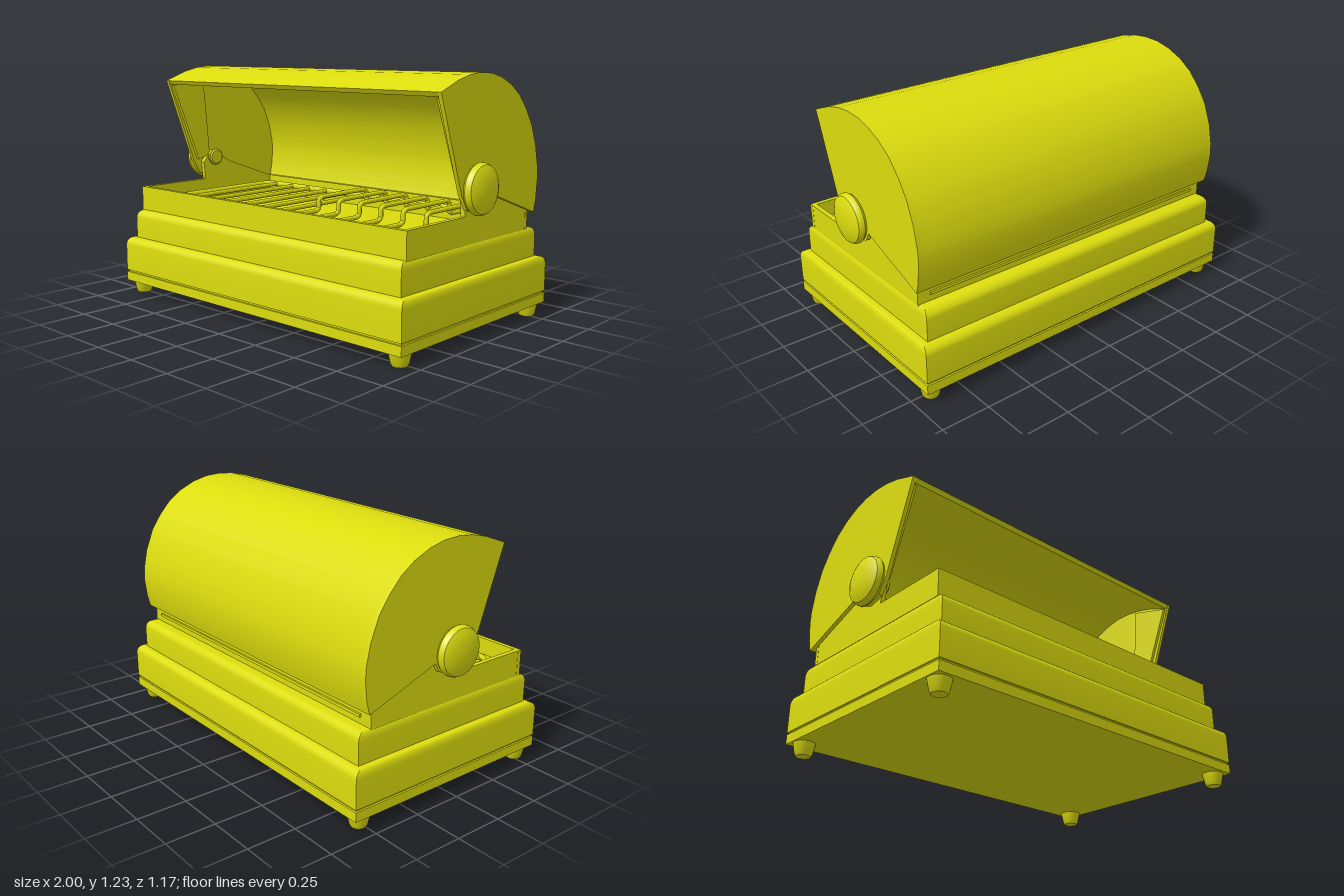
import * as THREE from 'three';
import { toCreasedNormals } from 'three/addons/utils/BufferGeometryUtils.js';

const yellow = new THREE.MeshStandardMaterial({ color: 0xdcdc0e });
yellow.name = 'yellow';

export function createModel() {
  const grill = new THREE.Group();
  grill.name = 'grill';

  const add = (name, geometry, x = 0, y = 0, z = 0) => {
    const mesh = new THREE.Mesh(geometry, yellow);
    mesh.name = name;
    mesh.position.set(x, y, z);
    grill.add(mesh);
    return mesh;
  };
  const box = (name, x0, x1, y0, y1, z0, z1) =>
    add(name, new THREE.BoxGeometry(x1 - x0, y1 - y0, z1 - z0), (x0 + x1) / 2, (y0 + y1) / 2, (z0 + z1) / 2);

  // Extrudes a [z, y] outline from x0 to x1
  const slab = (name, outline, x0, x1) => {
    const shape = new THREE.Shape(outline.map(([z, y]) => new THREE.Vector2(z, y)));
    const g = new THREE.ExtrudeGeometry(shape, { depth: x1 - x0, bevelEnabled: false });
    g.rotateY(-Math.PI / 2).translate(x1, 0, 0);
    return add(name, toCreasedNormals(g, 0.5));
  };
  const bothSides = (name, outline, x0, x1) => {
    slab(name + 'Left', outline, x0, x1);
    slab(name + 'Right', outline, -x1, -x0);
  };

  // Stacks rectangles [halfX, halfZ, y] into a closed, mitred body
  const stack = (name, levels) => {
    const p = [];
    const ring = ([x, z, y]) => [[-x, y, z], [x, y, z], [x, y, -z], [-x, y, -z]];
    const quad = (a, b, c, d) => p.push(...a, ...b, ...c, ...a, ...c, ...d);
    for (let i = 0; i < levels.length - 1; i++) {
      const a = ring(levels[i]), b = ring(levels[i + 1]);
      for (let k = 0; k < 4; k++) {
        const n = (k + 1) % 4;
        quad(a[k], a[n], b[n], b[k]);
      }
    }
    const bottom = ring(levels[0]), top = ring(levels[levels.length - 1]);
    quad(bottom[3], bottom[2], bottom[1], bottom[0]);
    quad(...top);
    const g = new THREE.BufferGeometry();
    g.setAttribute('position', new THREE.Float32BufferAttribute(p, 3));
    return add(name, toCreasedNormals(g, 0.5));
  };
  // Rounded shoulder at the top of a tier
  const shoulder = (hx, hz, y, r) => Array.from({ length: 7 }, (_, i) => {
    const a = (i / 6) * Math.PI / 2, inset = r * (1 - Math.cos(a));
    return [hx - inset * 0.4, hz - inset, y - r + r * Math.sin(a)];
  });

  // Stepped base with a groove near the bottom
  stack('lowerBase', [[0.96, 0.583, 0.065], [0.96, 0.583, 0.113], [0.952, 0.575, 0.114],
    [0.952, 0.575, 0.123], [0.96, 0.583, 0.124], ...shoulder(0.96, 0.583, 0.305, 0.04)]);
  stack('upperBase', [[0.92, 0.538, 0.3], ...shoulder(0.92, 0.538, 0.455, 0.04)]);

  // Tapered feet
  for (const x of [-0.9, 0.9]) for (const z of [-0.515, 0.515]) {
    const profile = [[0, 0], [0.035, 0], [0.042, 0.012], [0.054, 0.066], [0, 0.066]];
    const g = new THREE.LatheGeometry(profile.map(q => new THREE.Vector2(...q)), 24);
    add('foot', toCreasedNormals(g, 0.5), x, 0, z);
  }

  // Fire box walls, the side walls rising to the pivot
  box('frontWall', -0.915, 0.915, 0.45, 0.583, 0.475, 0.498);
  box('backWall', -0.915, 0.915, 0.45, 0.553, -0.465, -0.445);
  bothSides('sideWall', [[0.498, 0.45], [0.498, 0.583], [0.07, 0.583], [0.08, 0.68], [0.04, 0.73],
    [-0.03, 0.72], [-0.12, 0.67], [-0.465, 0.545], [-0.465, 0.45]], 0.89, 0.914);
  box('hingeStrip', -0.85, 0.85, 0.488, 0.503, -0.474, -0.46);

  // Inner ledges that carry the grate
  box('frontLedge', -0.89, 0.89, 0.45, 0.5, 0.44, 0.476);
  box('backLedge', -0.89, 0.89, 0.45, 0.5, -0.446, -0.41);
  for (const s of [-1, 1]) box('sideLedge', s * 0.875 - 0.016, s * 0.875 + 0.016, 0.45, 0.5, -0.41, 0.44);

  // Grate frame: a rounded rectangular loop
  const gx = 0.815, gz = 0.385, gc = 0.017, gy = 0.52, corner = 0.08;
  const loop = [];
  [[1, 1, 0], [-1, 1, 1], [-1, -1, 2], [1, -1, 3]].forEach(([sx, sz, q]) => {
    for (let i = 0; i <= 5; i++) {
      const a = (q + i / 5) * Math.PI / 2;
      loop.push(new THREE.Vector3(sx * (gx - corner) + corner * Math.cos(a), gy,
        gc + sz * (gz - corner) + corner * Math.sin(a)));
    }
  });
  const path = new THREE.CurvePath();
  loop.forEach((v, i) => path.add(new THREE.LineCurve3(v, loop[(i + 1) % loop.length])));
  add('grateFrame', new THREE.TubeGeometry(path, 200, 0.016, 10, true));

  // Grate bars: straight on the right half, raised in the middle on the left half
  const bar = [[gc + gz, gy], [0.15, gy], [0.13, gy + 0.012], [0.13, 0.575], [0.11, 0.588],
    [-0.22, 0.588], [-0.24, 0.575], [-0.24, gy + 0.012], [-0.26, gy], [gc - gz, gy]];
  for (let i = 0; i < 12; i++) {
    const x = -0.7425 + i * 0.135;
    const pts = i < 6 ? [bar[0], bar[9]] : bar;
    const run = new THREE.CurvePath();
    for (let k = 0; k < pts.length - 1; k++) {
      run.add(new THREE.LineCurve3(new THREE.Vector3(x, pts[k][1], pts[k][0]),
        new THREE.Vector3(x, pts[k + 1][1], pts[k + 1][0])));
    }
    add(i < 6 ? 'grateBar' : 'raisedGrateBar', new THREE.TubeGeometry(run, i < 6 ? 1 : 90, 0.012, 8));
  }

  // Open lid: curved shell and two end plates
  const arc = [[0.3, 1.153], [0.175, 1.2], [0.085, 1.222], [0, 1.23], [-0.088, 1.225], [-0.17, 1.205],
    [-0.257, 1.167], [-0.33, 1.117], [-0.395, 1.047], [-0.45, 0.967], [-0.493, 0.86], [-0.515, 0.76],
    [-0.519, 0.695], [-0.508, 0.595], [-0.492, 0.535]];
  const inner = arc.map(([z, y]) => [z * 0.953, 0.705 + (y - 0.705) * 0.953]).reverse();
  slab('lidShell', [...arc, ...inner], -0.916, 0.916);
  bothSides('lidEnd', [...arc, [-0.11, 0.67], [-0.085, 0.625], [0, 0.595], [0.085, 0.615], [0.132, 0.69]],
    0.915, 0.935);
  bothSides('lidRib', [[0.28, 1.125], [0.07, 1.18], [0.03, 0.72], [0.11, 0.7]], 0.897, 0.916);

  // Pivots: domed outer knob, shaft and inner nut
  const knob = [[0, 0.93], [0.1, 0.93], [0.115, 0.938], [0.122, 0.95], [0.121, 0.963], [0.113, 0.978],
    [0.09, 0.989], [0.05, 0.997], [0, 1]];
  const nut = [[0, 0.855], [0.038, 0.855], [0.046, 0.862], [0.046, 0.872], [0.036, 0.878], [0.036, 0.94], [0, 0.94]];
  for (const s of [-1, 1]) {
    for (const [name, profile] of [['knob', knob], ['pivotNut', nut]]) {
      const g = new THREE.LatheGeometry(profile.map(q => new THREE.Vector2(...q)), 40);
      add(name, toCreasedNormals(g, 0.6), 0, 0.708, 0.01).rotation.z = -s * Math.PI / 2;
    }
  }
  return grill;
}
